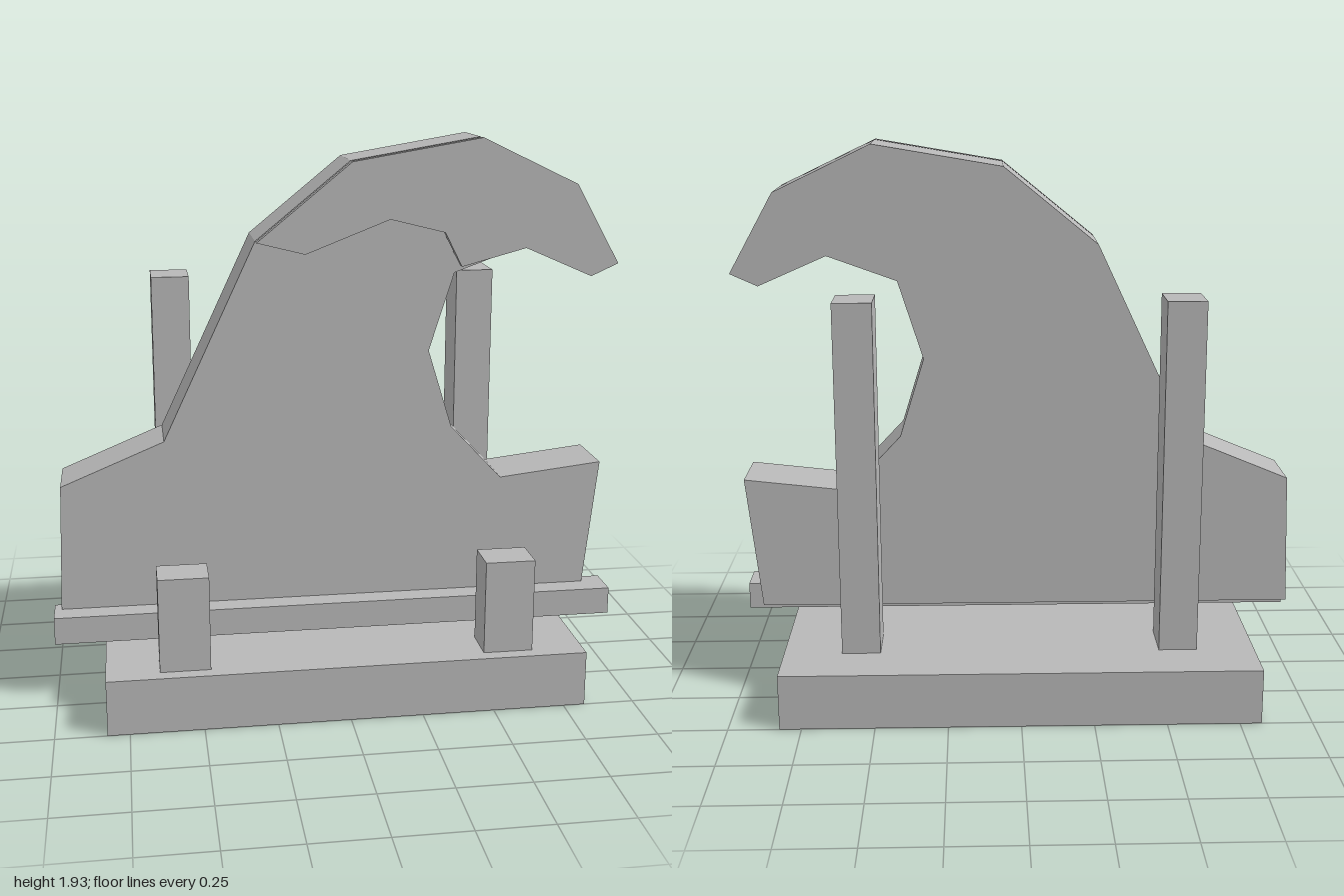
import * as THREE from 'three';

export function createModel() {
  const group = new THREE.Group();
  const grey = new THREE.MeshStandardMaterial({ color: 0xb8b8b8 });
  grey.name = 'plain grey';

  const add = (name, geometry) => {
    const mesh = new THREE.Mesh(geometry, grey);
    mesh.name = name;
    group.add(mesh);
  };

  // Box given by its limits on each axis
  const box = (name, x0, x1, y0, y1, z0, z1) => add(name,
    new THREE.BoxGeometry(x1 - x0, y1 - y0, z1 - z0)
      .translate((x0 + x1) / 2, (y0 + y1) / 2, (z0 + z1) / 2));

  // Flat cut-out between two depths
  const slab = (name, points, z0, z1) => {
    const shape = new THREE.Shape(points.map(([x, y]) => new THREE.Vector2(x, y)));
    add(name, new THREE.ExtrudeGeometry(shape, { depth: z1 - z0, bevelEnabled: false })
      .translate(0, 0, z0));
  };

  // Outer edge of the curl, shared by the wave and its crest
  const curl = [
    [-0.275, 1.595], [0.05, 1.86], [0.495, 1.935], [0.83, 1.775],
    [0.985, 1.5], [0.89, 1.457], [0.655, 1.56],
  ];

  // Stand
  box('base', -0.825, 0.825, 0, 0.195, -0.5, 0.5);
  box('frontRail', -1, 1, 0.21, 0.307, 0.077, 0.203);
  for (const side of [-1, 1]) {
    const front = side * 0.558, back = side * 0.555;
    box('frontPost', front - 0.086, front + 0.086, 0.195, 0.525, 0.315, 0.451);
    box('backPost', back - 0.067, back + 0.067, 0.195, 1.435, -0.317, -0.153);
  }

  // Wave body
  slab('wave', [
    [-0.976, 0.293], [-0.96, 0.757], [-0.6, 0.906], ...curl,
    [0.415, 1.473], [0.329, 1.2], [0.415, 0.922],
    [0.6, 0.725], [0.97, 0.767], [0.92, 0.293],
  ], -0.105, 0.122);

  // Crest plate held just in front of the wave
  slab('crest', [
    ...curl, [0.43, 1.5], [0.37, 1.618], [0.18, 1.666], [-0.11, 1.553],
  ], 0.14, 0.17);

  return group;
}
